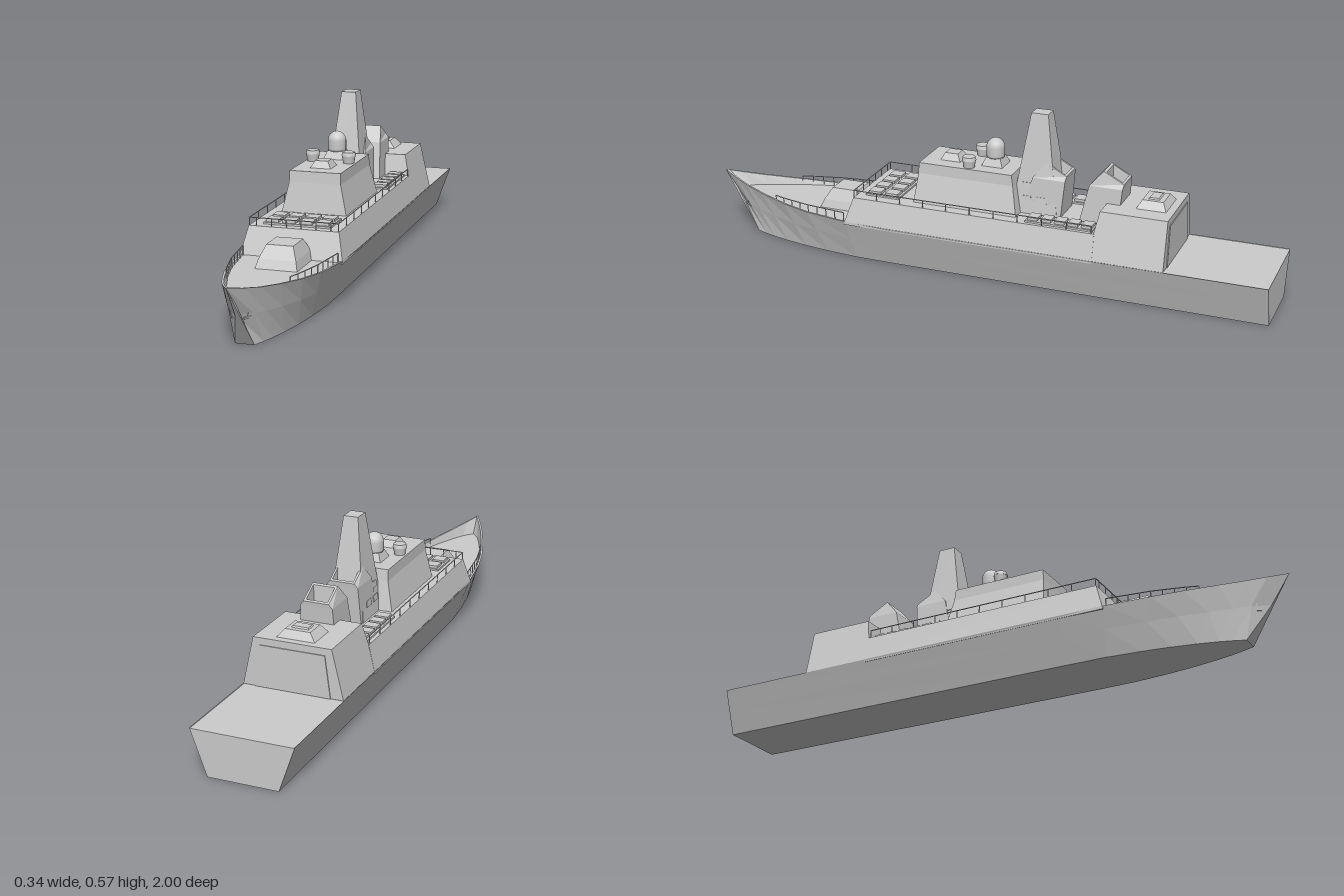
import * as THREE from 'three';

const mat = new THREE.MeshStandardMaterial({ color: 0xcccccc, flatShading: true, side: THREE.DoubleSide });
const smooth = new THREE.MeshStandardMaterial({ color: 0xcccccc });
const lerp = THREE.MathUtils.lerp;

function add(parent, name, geo, x = 0, y = 0, z = 0, m = mat) {
  const mesh = new THREE.Mesh(geo, m);
  mesh.name = name;
  mesh.position.set(x, y, z);
  parent.add(mesh);
  return mesh;
}

// Skin a row of closed rings and cap both ends
function loft(rings) {
  const p = [], n = rings[0].length, last = rings.length - 1;
  const tri = (a, b, c) => p.push(...a, ...b, ...c);
  for (let i = 0; i < last; i++) for (let j = 0; j < n; j++) {
    const k = (j + 1) % n;
    tri(rings[i][j], rings[i][k], rings[i + 1][k]);
    tri(rings[i][j], rings[i + 1][k], rings[i + 1][j]);
  }
  for (let j = 1; j < n - 1; j++) {
    tri(rings[0][0], rings[0][j + 1], rings[0][j]);
    tri(rings[last][0], rings[last][j], rings[last][j + 1]);
  }
  const g = new THREE.BufferGeometry();
  g.setAttribute('position', new THREE.Float32BufferAttribute(p, 3));
  g.computeVertexNormals();
  return g;
}

// Tapered block; each level is [halfWidth, zFront, zBack, yFront, yBack]
const block = (levels) => loft(levels.map(([w, f, b, yf, yb = yf]) =>
  [[w, yf, f], [w, yb, b], [-w, yb, b], [-w, yf, f]]));

function bar(parent, a, b, r = 0.0018) {
  const A = new THREE.Vector3(...a), B = new THREE.Vector3(...b);
  const m = add(parent, 'railBar', new THREE.CylinderGeometry(r, r, A.distanceTo(B), 5));
  m.position.copy(A).add(B).multiplyScalar(0.5);
  m.quaternion.setFromUnitVectors(new THREE.Vector3(0, 1, 0), B.sub(A).normalize());
}

// Posts at every point, joined by a top rail
function railing(parent, pts, h) {
  const top = pts.map(([x, y, z]) => [x, y + h, z]);
  pts.forEach((p, i) => {
    bar(parent, p, top[i]);
    if (i) bar(parent, top[i - 1], top[i]);
  });
}

// [deck z, deck half width, deck edge height, keel z, keel half width]
const stations = [
  [-1, 0.168, 0.148, -1, 0.115], [0.3, 0.169, 0.148, 0.3, 0.115], [0.45, 0.166, 0.15, 0.43, 0.113],
  [0.6, 0.147, 0.155, 0.55, 0.102], [0.7, 0.124, 0.162, 0.64, 0.089], [0.8, 0.091, 0.172, 0.72, 0.073],
  [0.88, 0.06, 0.182, 0.78, 0.058], [0.94, 0.032, 0.193, 0.82, 0.045], [1, 0, 0.205, 0.86, 0.03],
];

function hullRing([z, w, y, kz, kw], i) {
  const bow = i === stations.length - 1;
  const t = 0.54, mid = [bow ? 0 : lerp(kw, w, t), y * t, lerp(kz, z, t)];
  const s = (0.146 - mid[1]) / (y - mid[1]);
  const flat = i < 2 ? 0.001 : 0.007;
  const side = [
    [kw, 0, kz], mid, [w, y, z],
    [Math.max(w - flat, 0), y, z - (bow ? 0.015 : 0)],
    [Math.max(lerp(mid[0], w, s) - flat, 0), 0.146, lerp(mid[2], z, s) - (bow ? 0.012 : 0)],
  ];
  return [...side, ...side.map(([a, b, c]) => [-a, b, c]).reverse()];
}

function openFunnel(parent, name, z) {
  add(parent, name, block([
    [0.06, z + 0.13, z, 0.23], [0.054, z + 0.1, z - 0.012, 0.36],
    [0.043, z + 0.055, z - 0.014, 0.412, 0.375], [0.036, z + 0.047, z - 0.007, 0.408, 0.379],
    [0.034, z + 0.045, z, 0.35, 0.335],
  ]));
}

// Framed field of raised hatch lids
function hatchField(parent, name, cx, cz, w, d, nx, nz) {
  const g = new THREE.Group();
  g.name = name;
  parent.add(g);
  add(g, 'hatchBase', new THREE.BoxGeometry(w, 0.008, d), cx, 0.237, cz);
  const sx = w / nx, sz = d / nz;
  for (let i = 0; i < nx; i++) for (let j = 0; j < nz; j++)
    add(g, 'hatchLid', new THREE.BoxGeometry(sx * 0.75, 0.01, sz * 0.75), cx - w / 2 + sx * (i + 0.5), 0.245, cz - d / 2 + sz * (j + 0.5));
}

export function createModel() {
  const ship = new THREE.Group();
  ship.name = 'warship';

  // Hull with the bulwark rising toward the bow
  add(ship, 'hull', loft(stations.map(hullRing)));

  // Superstructure and hangar
  add(ship, 'superstructure', block([[0.167, 0.45, -0.43, 0.14], [0.167, 0.447, -0.43, 0.15], [0.148, 0.42, -0.43, 0.235]]));
  add(ship, 'hangar', block([[0.167, -0.41, -0.665, 0.148], [0.13, -0.442, -0.665, 0.308]]));
  add(ship, 'hangarDoor', block([[0.125, -0.66, -0.668, 0.148], [0.108, -0.66, -0.668, 0.285]]));
  add(ship, 'bridge', block([[0.11, 0.216, -0.15, 0.23], [0.087, 0.205, -0.13, 0.333], [0.086, 0.203, -0.125, 0.37]]));

  // Foredeck gun house and aft roof mount
  add(ship, 'gunHouse', block([[0.068, 0.588, 0.42, 0.145], [0.06, 0.575, 0.43, 0.175], [0.043, 0.55, 0.455, 0.215]]));
  add(ship, 'aftMount', block([[0.066, -0.54, -0.642, 0.305], [0.042, -0.555, -0.625, 0.333]]));
  add(ship, 'aftMountCap', block([[0.03, -0.57, -0.61, 0.33], [0.026, -0.575, -0.605, 0.338]]));

  // Bridge roof sensors
  add(ship, 'roofMount', block([[0.036, 0.148, 0.075, 0.368], [0.022, 0.135, 0.09, 0.393]]));
  add(ship, 'domeBase', block([[0.038, 0, -0.075, 0.368], [0.026, -0.012, -0.063, 0.397]]));
  const dome = [[0, 0.395], [0.029, 0.395], [0.031, 0.402], [0.031, 0.43]].map((q) => new THREE.Vector2(...q));
  for (let i = 1; i <= 8; i++) {
    const a = (i / 8) * Math.PI / 2;
    dome.push(new THREE.Vector2(0.031 * Math.cos(a), 0.43 + 0.031 * Math.sin(a)));
  }
  add(ship, 'radarDome', new THREE.LatheGeometry(dome, 20), 0, 0, -0.037, smooth);
  for (const s of [-1, 1]) {
    add(ship, 'sensorDrum', new THREE.CylinderGeometry(0.023, 0.018, 0.028, 16), s * 0.062, 0.382, 0.033);
    add(ship, 'sensorCap', new THREE.CylinderGeometry(0.021, 0.024, 0.012, 16), s * 0.062, 0.401, 0.033);
  }

  // Mast with side louvres, and the two exhaust funnels
  add(ship, 'mast', block([[0.063, -0.115, -0.275, 0.23], [0.025, -0.17, -0.228, 0.572]]));
  for (const s of [-1, 1]) for (const y of [0.285, 0.33]) for (const z of [-0.165, -0.22]) {
    const louvre = add(ship, 'mastLouvre', new THREE.BoxGeometry(0.005, 0.02, 0.035), s * (0.063 - (y - 0.23) * 0.111), y, z);
    louvre.rotation.z = s * 0.11;
  }
  openFunnel(ship, 'forwardFunnel', -0.286);
  openFunnel(ship, 'aftFunnel', -0.48);

  // Deck hatches
  hatchField(ship, 'forwardHatches', 0, 0.33, 0.22, 0.12, 4, 2);
  for (const s of [-1, 1]) hatchField(ship, 'sideHatches', s * 0.105, -0.305, 0.06, 0.23, 1, 5);

  // Upper deck railing, running round the front
  const rails = new THREE.Group();
  rails.name = 'railings';
  ship.add(rails);
  const side = [];
  for (let i = 0; i <= 10; i++) side.push([0.146, 0.235, -0.42 + i * 0.0838]);
  const mirror = (pts) => pts.map(([x, y, z]) => [-x, y, z]);
  const front = [0.122, 0.073, 0.024, -0.024, -0.073, -0.122].map((x) => [x, 0.235, 0.418]);
  railing(rails, [...side, ...front, ...mirror(side).reverse()], 0.026);

  // Foredeck railing along the inside of the deck edge
  const fore = [];
  for (let i = 0; i <= 8; i++) {
    const z = 0.455 + i * 0.036;
    const k = stations.findIndex((q) => q[0] > z), a = stations[k - 1], b = stations[k];
    fore.push([lerp(a[1], b[1], (z - a[0]) / (b[0] - a[0])) - 0.01, 0.146, z]);
  }
  railing(rails, fore, 0.032);
  railing(rails, mirror(fore), 0.032);

  // Anchors on each side of the stem
  for (const s of [-1, 1]) {
    const anchor = new THREE.Group();
    anchor.name = 'anchor';
    add(anchor, 'shank', new THREE.BoxGeometry(0.005, 0.03, 0.005));
    add(anchor, 'flukes', new THREE.BoxGeometry(0.005, 0.006, 0.03), 0, -0.014, 0);
    anchor.position.set(s * 0.027, 0.108, 0.898);
    anchor.rotation.set(0, -s * 0.5, -s * 0.2);
    ship.add(anchor);
  }
  return ship;
}
